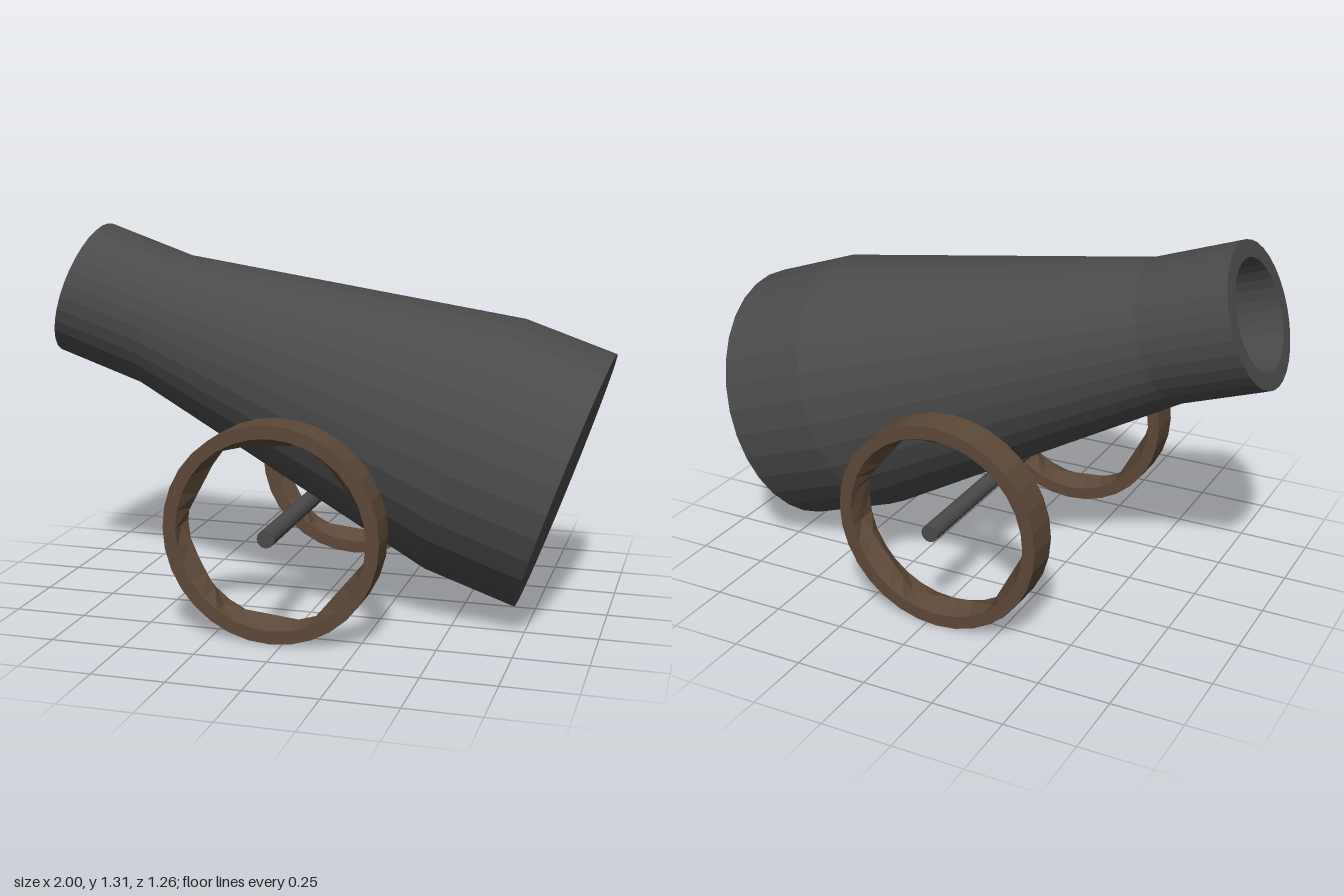
import * as THREE from 'three';

const SIDES = 32;
const STEP = (Math.PI * 2) / SIDES;
const points = (list) => list.map(([r, y]) => new THREE.Vector2(r, y));
const material = (color) => new THREE.MeshStandardMaterial({ color, flatShading: true });

function addMesh(parent, name, geometry, mat, x, y, z) {
  const mesh = new THREE.Mesh(geometry, mat);
  mesh.name = name;
  mesh.position.set(x, y, z);
  parent.add(mesh);
  return mesh;
}

// Rim: round on both faces, its inner wall pinched to flat chords halfway through
function rimGeometry(outer, inner, half) {
  const geometry = new THREE.LatheGeometry(points([
    [outer, -half], [outer, half], [inner, half], [inner, 0], [inner, -half], [outer, -half],
  ]), SIDES);
  geometry.rotateX(Math.PI / 2);
  const p = geometry.attributes.position;
  for (let i = 0; i < p.count; i++) {
    if (Math.abs(p.getZ(i)) > 1e-4) continue;
    const t = Math.abs(Math.atan2(p.getY(i), p.getX(i)));
    // One narrow chord at +x, then three wide ones on each side
    let width = 2 * STEP, middle = 0;
    if (t > STEP) {
      width = 5 * STEP;
      const k = Math.min(2, Math.floor((t - STEP) / width));
      middle = STEP + (k + 0.5) * width;
    }
    const r = (inner * Math.cos(width / 2)) / Math.cos(t - middle);
    const a = Math.atan2(p.getY(i), p.getX(i));
    p.setXY(i, r * Math.cos(a), r * Math.sin(a));
  }
  geometry.computeVertexNormals();
  return geometry;
}

export function createModel() {
  const group = new THREE.Group();
  group.name = 'cannon';
  const iron = material(0x4a4a4a);
  const wood = material(0x5c4838);

  // Barrel with bore, turned around its axis from the breech to the muzzle
  const length = 1.864;
  const barrel = addMesh(group, 'barrel', new THREE.LatheGeometry(points([
    [0, 0], [0.468, 0], [0.468, 0.333], [0.248, length - 0.326],
    [0.248, length], [0.19, length], [0.19, 0.02], [0, 0.02],
  ]), SIDES), iron, 0.843, 0.482, 0);
  barrel.rotation.z = THREE.MathUtils.degToRad(71);

  // Axle through both wheels
  const axle = new THREE.CylinderGeometry(0.03, 0.03, 1.26, 16).rotateX(Math.PI / 2);
  addMesh(group, 'axle', axle, iron, -0.04, 0.38, 0);

  // Wheels
  const rim = rimGeometry(0.37, 0.325, 0.061);
  for (const [name, side] of [['frontWheel', 1], ['backWheel', -1]]) {
    addMesh(group, name, rim, wood, -0.04, 0.38, side * 0.535);
  }
  return group;
}
